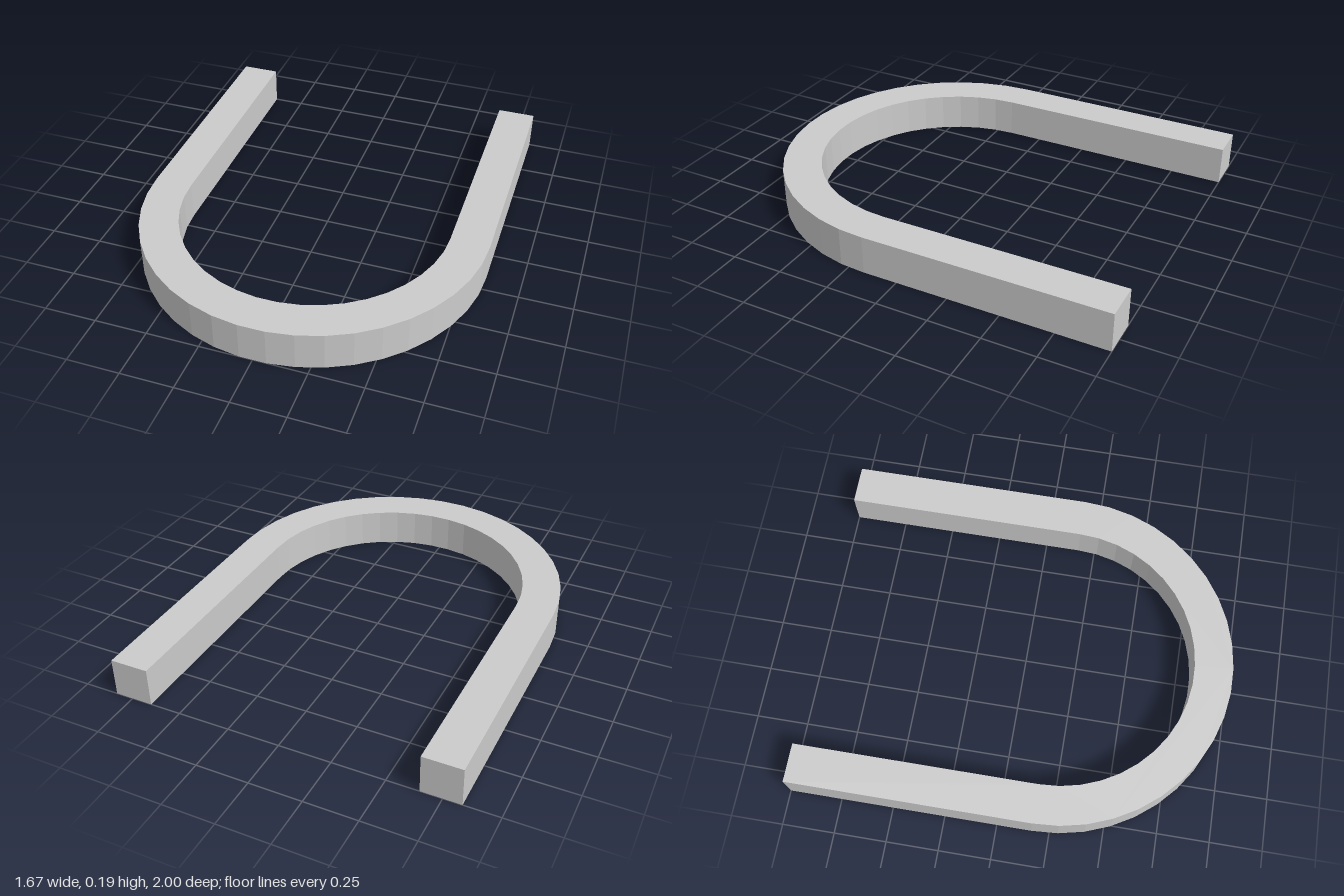
import * as THREE from 'three';

const OUTER = 0.835, INNER = 0.65, HEIGHT = 0.186;
const CENTRE = 1 - OUTER * Math.cos(Math.PI / 42); // z of the bend's centre
const SEGMENTS = 21;

// Points of a half circle bulging to the front, from right to left
function bend(radius) {
  return Array.from({ length: SEGMENTS + 1 }, (_, i) => {
    const a = Math.PI + (Math.PI * i) / SEGMENTS;
    return new THREE.Vector2(radius * Math.cos(a), -CENTRE + radius * Math.sin(a));
  });
}

export function createModel() {
  const group = new THREE.Group();
  group.name = 'uShapedBar';

  // Outline in plan, with shape y pointing to the back
  const outline = [
    new THREE.Vector2(-OUTER, 1),
    ...bend(OUTER),
    new THREE.Vector2(OUTER, 1),
    new THREE.Vector2(INNER, 1),
    ...bend(INNER).reverse(),
    new THREE.Vector2(-INNER, 1),
  ];
  const geometry = new THREE.ExtrudeGeometry(new THREE.Shape(outline), {
    depth: HEIGHT,
    bevelEnabled: false,
  });
  geometry.rotateX(-Math.PI / 2);

  // Square-section bar with two straight legs and a faceted bend
  const bar = new THREE.Mesh(
    geometry,
    new THREE.MeshStandardMaterial({ color: 0xcccccc, flatShading: true })
  );
  bar.name = 'bentBar';
  group.add(bar);
  return group;
}
